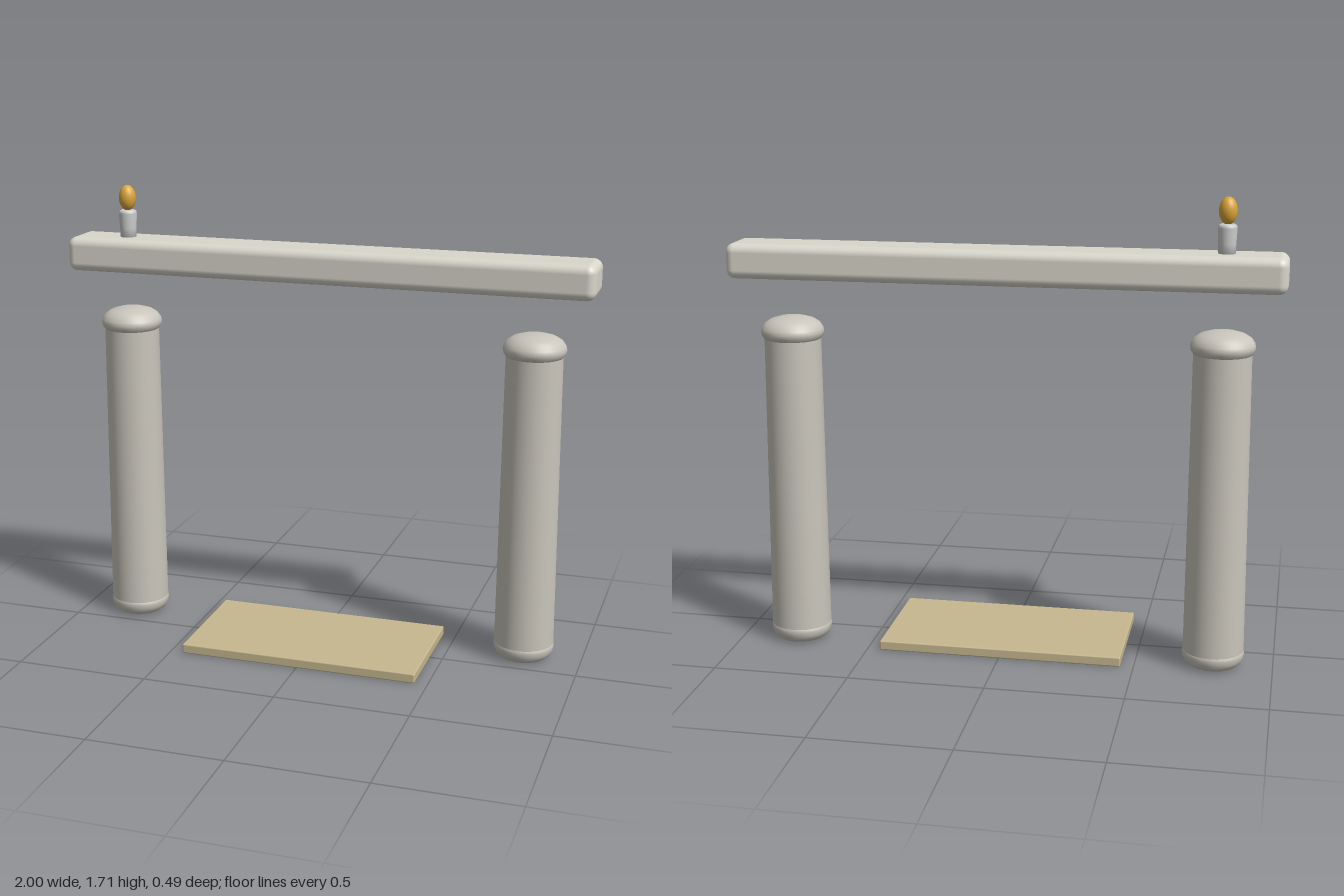
import * as THREE from 'three';
import { RoundedBoxGeometry } from 'three/addons/geometries/RoundedBoxGeometry.js';

const material = (color) => new THREE.MeshStandardMaterial({ color });

function addMesh(parent, name, geometry, mat, x = 0, y = 0, z = 0) {
  const mesh = new THREE.Mesh(geometry, mat);
  mesh.name = name;
  mesh.position.set(x, y, z);
  parent.add(mesh);
  return mesh;
}

// Lathe from [radius, height] pairs, listed bottom to top
const lathe = (profile, sides = 40) =>
  new THREE.LatheGeometry(profile.map(([r, y]) => new THREE.Vector2(r, y)), sides);

export function createModel() {
  const group = new THREE.Group();
  const stone = material(0xc9c5bb);
  const paleStone = material(0xd9d6cb);
  const wax = material(0xcccccc);
  const tan = material(0xc6b88f);
  const gold = material(0xdba637);
  const zPost = -0.129;

  // Two posts: rounded foot, tapering shaft, cushion cap
  const foot = lathe([[0, 0.003], [0.07, 0.004], [0.088, 0.009], [0.102, 0.02],
    [0.11, 0.036], [0.113, 0.052], [0.111, 0.064], [0.105, 0.07], [0, 0.07]]);
  const shaft = new THREE.CylinderGeometry(0.103, 0.111, 1.13, 40, 1);
  const cap = lathe([[0, 1.158], [0.085, 1.158], [0.102, 1.163], [0.112, 1.176],
    [0.115, 1.19], [0.112, 1.204], [0.1, 1.221], [0.08, 1.234], [0.05, 1.243],
    [0.02, 1.247], [0, 1.247]]);
  for (const [side, label] of [[-1, 'right'], [1, 'left']]) {
    const post = new THREE.Group();
    post.name = `${label}Post`;
    post.position.set(side * 0.782, 0, zPost);
    addMesh(post, 'foot', foot, stone);
    addMesh(post, 'shaft', shaft, stone, 0, 0.615, 0);
    addMesh(post, 'cap', cap, stone);
    group.add(post);
  }

  // Mantel beam floating above the posts
  addMesh(group, 'mantelBeam', new RoundedBoxGeometry(2, 0.128, 0.194, 5, 0.032),
    paleStone, 0, 1.453, zPost);

  // Flat hearth slab on the ground
  addMesh(group, 'hearthSlab', new RoundedBoxGeometry(0.904, 0.036, 0.468, 2, 0.005),
    tan, 0, 0.021, 0.009);

  // Candle with an egg-shaped flame
  const candle = new THREE.Group();
  candle.name = 'candle';
  candle.position.set(-0.785, 0, zPost);
  addMesh(candle, 'candleStick', lathe([[0, 1.5], [0.03, 1.5], [0.031, 1.55],
    [0.034, 1.605], [0.032, 1.614], [0.026, 1.618], [0, 1.619]], 28), wax);
  addMesh(candle, 'flame', new THREE.SphereGeometry(1, 28, 20), gold, 0, 1.664, 0)
    .scale.set(0.032, 0.048, 0.032);
  group.add(candle);

  return group;
}
